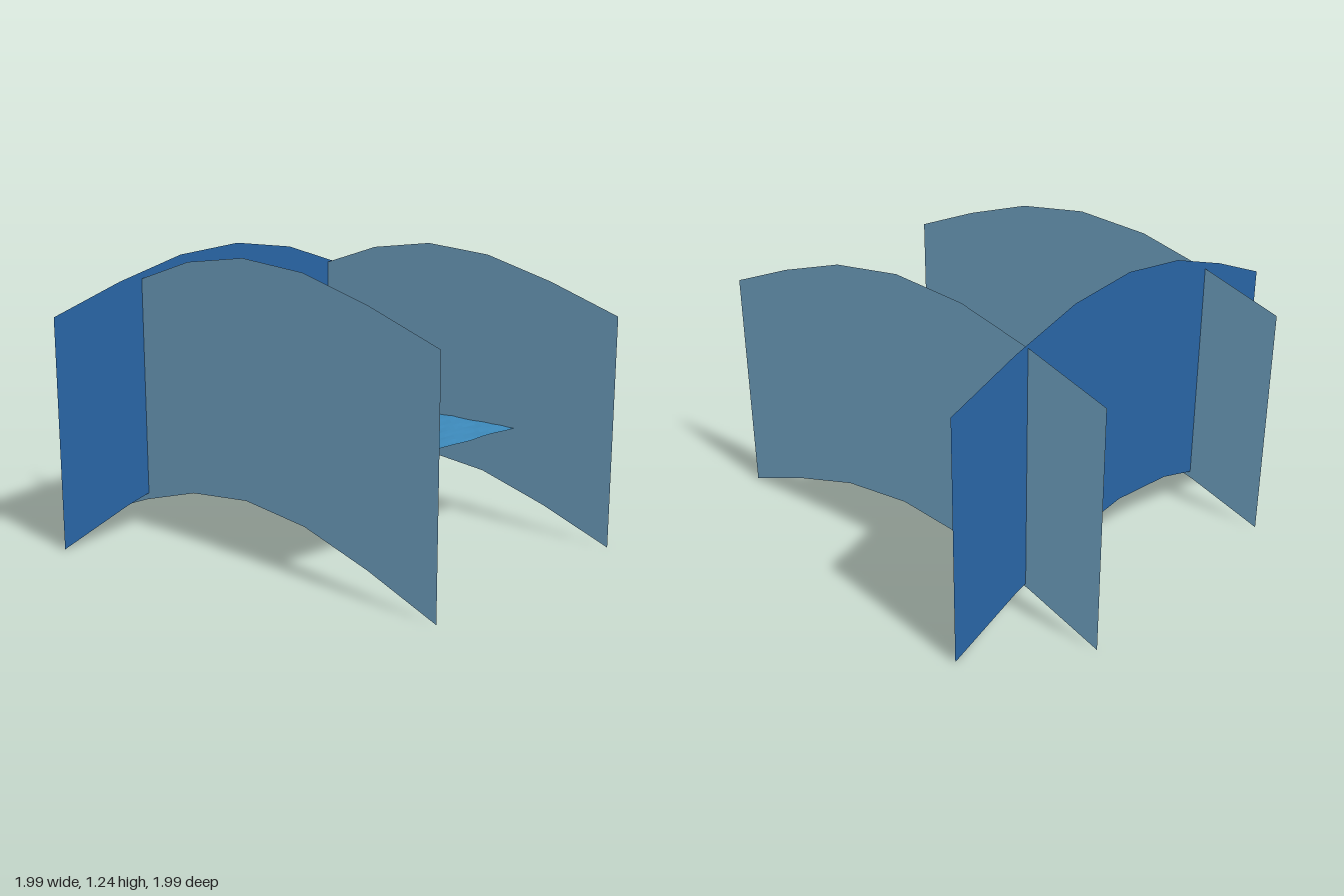
import * as THREE from 'three';
import { mergeGeometries } from 'three/addons/utils/BufferGeometryUtils.js';

const SEA = 0.441;
let seed = 7;
const rand = () => (seed = (seed * 16807) % 2147483647) / 2147483647;
const range = (a, b) => a + (b - a) * rand();

const paint = (color, flatShading = true) =>
  new THREE.MeshStandardMaterial({ color, flatShading, side: THREE.DoubleSide });

function addMesh(parent, name, geometry, material) {
  const mesh = new THREE.Mesh(geometry, material);
  mesh.name = name;
  parent.add(mesh);
  return mesh;
}

// Flat horizontal grid raised by a height rule
function terrain(size, segments, height) {
  const g = new THREE.PlaneGeometry(size, size, segments, segments).rotateX(-Math.PI / 2);
  const p = g.attributes.position;
  for (let i = 0; i < p.count; i++) p.setY(i, height(p.getX(i), p.getZ(i)));
  g.computeVertexNormals();
  return g;
}

// Arched sky panel
function skyPanel() {
  const arch = [[-0.995, 0], [-0.665, 0.12], [-0.335, 0.215], [0, 0.25],
    [0.335, 0.215], [0.665, 0.12], [0.995, 0]];
  const lower = arch.map(([x, y]) => new THREE.Vector2(x, y));
  const upper = arch.map(([x, y]) => new THREE.Vector2(x, y + 0.985)).reverse();
  return new THREE.ShapeGeometry(new THREE.Shape([...lower, ...upper]));
}

// Island patch: a dome with a ragged shoreline and a rim under the water
function islandPatch(radius, phase) {
  return terrain(0.33, 16, (x, z) => {
    const a = Math.atan2(z, x);
    const shore = radius * (1 + 0.09 * Math.sin(3 * a + phase) + 0.07 * Math.sin(5 * a + 2 * phase));
    const t = THREE.MathUtils.clamp(1.35 - Math.hypot(x, z) / shore, -0.1, 0.85);
    return SEA - 0.006 + 0.019 * t;
  });
}

// Curved, tapering trunk
function trunk(base, top) {
  const mid = base.clone().lerp(top, 0.5);
  mid.x = base.x * 0.8 + top.x * 0.2;
  mid.z = base.z * 0.8 + top.z * 0.2;
  const curve = new THREE.QuadraticBezierCurve3(base, mid, top);
  return new THREE.TubeGeometry(curve, 4, 0.0026, 5);
}

// Drooping leaf with a raised midrib, built from cross-sections
function frond(length, droop) {
  const sections = [[0, 0.0015, 0], [0.35, 0.0065, 0.006], [0.7, 0.006, 0.001], [1, 0.0004, -droop]];
  const pos = [], index = [];
  sections.forEach(([t, w, y], i) => {
    pos.push(t * length, y - w * 0.5, -w, t * length, y, 0, t * length, y - w * 0.5, w);
    if (i) for (let k = 0; k < 2; k++) {
      const a = 3 * (i - 1) + k, b = a + 3;
      index.push(a, a + 1, b, b, a + 1, b + 1);
    }
  });
  const g = new THREE.BufferGeometry();
  g.setAttribute('position', new THREE.Float32BufferAttribute(pos, 3));
  g.setIndex(index);
  g.computeVertexNormals();
  return g;
}

function crown(top) {
  const parts = [], n = 8, turn = range(0, 6);
  for (let i = 0; i < n; i++) {
    parts.push(frond(range(0.028, 0.038), range(0.008, 0.022))
      .rotateY(turn + (i / n) * Math.PI * 2).translate(top.x, top.y, top.z));
  }
  return mergeGeometries(parts);
}

// Palms in a ring and at the centre of an island, plus undergrowth
function grove(island, radius, mats) {
  const trunks = [], crowns = [], bushes = [], tufts = [];
  const count = 12;
  for (let i = 0; i < count; i++) {
    const a = (i / count) * Math.PI * 2 + range(-0.2, 0.2);
    const r = i % 4 === 3 ? radius * 0.35 : radius * range(0.75, 1);
    const base = new THREE.Vector3(Math.cos(a) * r, SEA + 0.003, Math.sin(a) * r);
    const top = new THREE.Vector3(base.x * 1.1 + range(-0.012, 0.012),
      range(0.512, 0.55), base.z * 1.1 + range(-0.012, 0.012));
    trunks.push(trunk(base, top));
    crowns.push(crown(top));
  }
  for (let i = 0; i < 45; i++) {
    const a = i * 2.4, r = radius * 1.0 * Math.sqrt((i + 0.5) / 45);
    const x = Math.cos(a) * r, z = Math.sin(a) * r;
    const s = range(0.007, 0.011);
    bushes.push(new THREE.IcosahedronGeometry(s, 0).rotateY(i)
      .translate(x, SEA + 0.014 + range(0, 0.008), z));
    tufts.push(new THREE.ConeGeometry(0.005, range(0.014, 0.026), 4)
      .rotateX(range(-0.5, 0.5)).rotateZ(range(-0.5, 0.5))
      .translate(x + range(-0.008, 0.008), SEA + 0.024, z + range(-0.008, 0.008)));
  }
  addMesh(island, 'palmTrunks', mergeGeometries(trunks), mats.bark);
  addMesh(island, 'palmFronds', mergeGeometries(crowns), mats.leaf);
  addMesh(island, 'undergrowth', mergeGeometries(bushes), mats.bush);
  addMesh(island, 'grassTufts', mergeGeometries(tufts), mats.leaf);
}

// Cloud: puffs heaped along a line with a flat base
function cloud(width) {
  const puffs = [];
  for (let i = 0; i < 44; i++) {
    const u = (i / 43) * 2 - 1, bulk = 1 - Math.abs(u);
    const r = 0.007 + 0.005 * bulk * rand();
    puffs.push(new THREE.SphereGeometry(r, 9, 6).translate(
      u * width / 2, range(-0.012, -0.008 + 0.046 * bulk * bulk), range(-1, 1) * (0.008 + 0.028 * bulk)));
  }
  return mergeGeometries(puffs);
}

export function createModel() {
  const model = new THREE.Group();
  model.name = 'islandDiorama';

  // Sky panels: one behind, one on each side
  const panel = skyPanel();
  addMesh(model, 'backSky', panel, paint(0x2864a4)).position.z = -0.65;
  const sideMat = paint(0x7cb4d8);
  for (const [name, x] of [['rightSky', -0.55], ['leftSky', 0.6]]) {
    const side = addMesh(model, name, panel, sideMat);
    side.rotation.y = Math.PI / 2;
    side.position.x = x;
  }

  // Rippled sea
  const sea = terrain(1.15, 40, (x, z) => SEA + 0.0012 * Math.sin(x * 23 + z * 31)
    + 0.001 * Math.sin(z * 47 - x * 17) + range(-0.0008, 0.0008));
  addMesh(model, 'sea', sea, paint(0x3d8bbd)).position.set(0.025, 0, -0.075);

  // Five palm islands
  const mats = { bark: paint(0x5c3f22), leaf: paint(0x1d5a22), bush: paint(0x3b4423) };
  const sand = 0xc8a869, mud = 0x8d7452;
  const islands = [
    [-0.18, -0.195, 0.122, sand], [0.19, -0.21, 0.122, sand], [-0.17, 0.06, 0.124, mud],
    [0.19, 0.045, 0.124, sand], [0, -0.06, 0.112, sand]];
  islands.forEach(([x, z, radius, color], i) => {
    const island = new THREE.Group();
    island.name = 'island' + (i + 1);
    island.position.set(x, 0, z);
    addMesh(island, 'beach', islandPatch(radius, i * 1.7), paint(color));
    grove(island, 0.083, mats);
    model.add(island);
  });

  // Clouds: position, width, turn
  const cloudMat = paint(0xd2d0d0, false);
  const clouds = [
    [-0.32, 0.645, -0.305, 0.24, 0.3], [-0.09, 0.715, -0.4, 0.22, 0.35],
    [0.31, 0.765, -0.395, 0.25, 0.38], [0.005, 0.64, -0.13, 0.18, 0.05],
    [-0.08, 0.61, -0.28, 0.22, -0.05], [0.23, 0.62, -0.3, 0.24, -0.1]];
  clouds.forEach(([x, y, z, width, turn], i) => {
    const c = addMesh(model, 'cloud' + (i + 1), cloud(width), cloudMat);
    c.position.set(x, y, z);
    c.rotation.y = turn;
  });

  return model;
}
